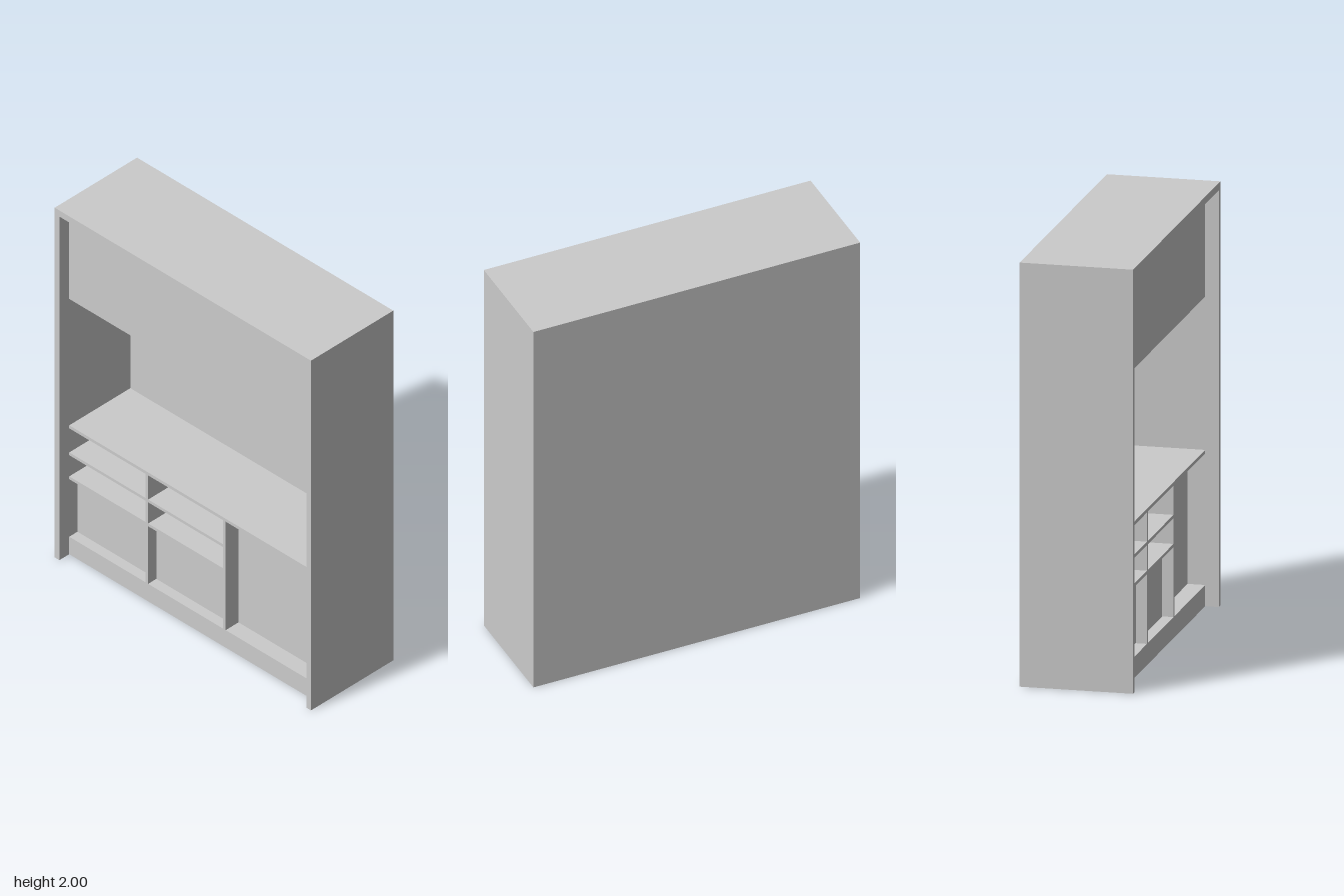
import * as THREE from 'three';

export function createModel() {
  const group = new THREE.Group();
  const material = new THREE.MeshStandardMaterial({ color: 0xcccccc });

  // Box given by its extents along each axis
  function box(name, x0, x1, y0, y1, z0, z1) {
    const mesh = new THREE.Mesh(new THREE.BoxGeometry(x1 - x0, y1 - y0, z1 - z0), material);
    mesh.position.set((x0 + x1) / 2, (y0 + y1) / 2, (z0 + z1) / 2);
    mesh.name = name;
    group.add(mesh);
  }

  const W = 0.823, D = 0.267;      // outer half width and half depth
  const inner = 0.793;             // inner face of the sides
  const back = -0.193;             // inner face of the back
  const front = 0.203;             // front plane of the recessed fittings
  const midL = -0.304, midR = -0.286, divL = 0.195, divR = 0.212;

  // Outer carcass
  box('leftSide', inner, W, 0, 2, -D, D);
  box('rightSide', -W, -inner, 0, 2, -D, D);
  box('top', -inner, inner, 1.965, 2, -D, D);
  box('backPanel', -inner, inner, 0, 1.965, -D, back);

  // Upper cupboard, worktop and plinth
  box('upperCupboard', -inner, inner, 1.46, 1.965, back, front);
  box('worktop', -inner, inner, 0.72, 0.737, back, front);
  box('plinth', -inner, inner, 0, 0.1, back, front);

  // Vertical dividers
  box('middleDivider', midL, midR, 0.1, 0.72, back, front);
  box('wideDivider', divL, divR, 0.1, 0.72, back, front);

  // Two bays, each with two shelves above a closed cupboard
  for (const [x0, x1] of [[-inner, midL], [midR, divL]]) {
    box('lowerShelf', x0, x1, 0.429, 0.445, back, front);
    box('upperShelf', x0, x1, 0.566, 0.582, back, front);
    box('lowerCupboard', x0, x1, 0.1, 0.429, back, 0.15);
  }

  // Tall closed cupboard in the last bay
  box('tallCupboard', divR, inner, 0.1, 0.72, back, 0.12);

  return group;
}
